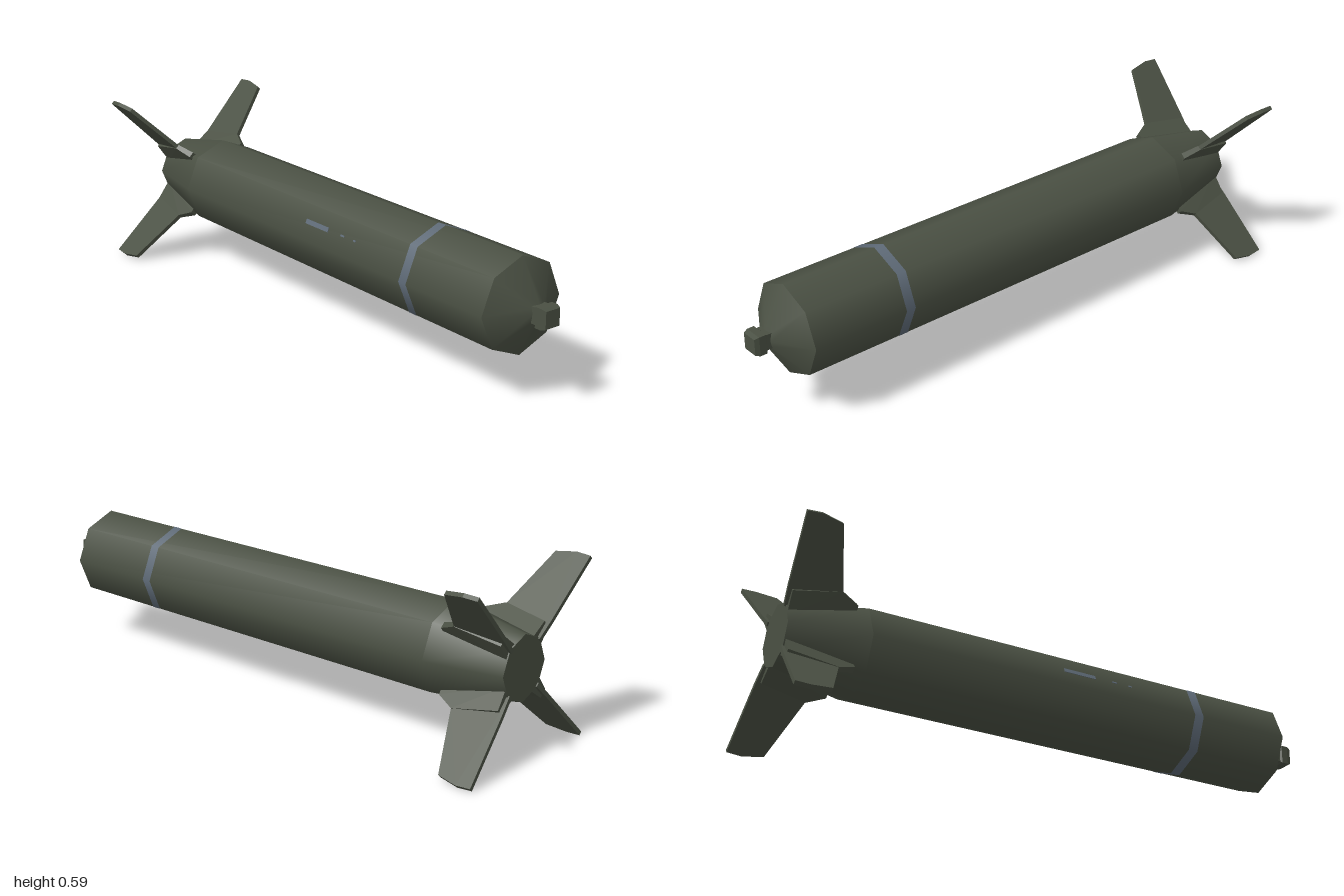
import * as THREE from 'three';

const AXIS_Y = 0.297, R = 0.158;

export function createModel() {
  const model = new THREE.Group();
  model.name = 'finnedBomb';
  const olive = new THREE.MeshStandardMaterial({ color: 0x4a5043 });
  olive.name = 'olive drab';
  const blueGrey = new THREE.MeshStandardMaterial({ color: 0x5f6b78 });
  blueGrey.name = 'blue grey paint';

  // everything is laid out around the x axis, then lifted
  const bomb = new THREE.Group();
  bomb.name = 'bomb';
  bomb.position.y = AXIS_Y;
  model.add(bomb);

  const add = (name, geometry, material, parent = bomb) => {
    const mesh = new THREE.Mesh(geometry, material);
    mesh.name = name;
    parent.add(mesh);
    return mesh;
  };
  const flat = (geometry) => {
    const g = geometry.index ? geometry.toNonIndexed() : geometry;
    g.computeVertexNormals();
    return g;
  };
  // profile of [x, radius] pairs revolved about the x axis
  const turned = (profile, sides = 8, start = 0) =>
    new THREE.LatheGeometry(profile.map(([x, r]) => new THREE.Vector2(r, x)), sides, start)
      .rotateZ(-Math.PI / 2);

  // eight-sided body, smooth around
  add('barrel', turned([[-0.71, R], [0.865, R]]), olive);
  add('tailTaper', turned([[-0.97, 0.108], [-0.71, R]]), olive);
  add('tailCap', turned([[-0.97, 0], [-0.97, 0.108]]), olive);
  add('noseCone', turned([[0.865, R], [0.94, 0.03], [0.94, 0]]), olive);

  // square fuze
  const q = Math.SQRT2;
  add('fuze', flat(turned([[0.92, 0.027 * q], [0.953, 0.027 * q], [0.958, 0.033 * q],
    [0.982, 0.033 * q], [0.997, 0.028 * q], [0.997, 0]], 4, Math.PI / 4)), olive);

  // painted band and side marks
  add('noseBand', turned([[0.49, R + 0.001], [0.525, R + 0.001]]), blueGrey);
  const tilt = Math.PI / 8, apothem = R * Math.cos(tilt);
  for (const [x, w, h] of [[0.045, 0.12, 0.016], [0.18, 0.02, 0.006], [0.242, 0.012, 0.006]]) {
    const mark = add('sideMark', new THREE.BoxGeometry(w, h, 0.003)
      .translate(x, 0.002, apothem), blueGrey);
    mark.rotation.x = -tilt;
  }

  // four fins with flared root brackets on the diagonals
  const slab = (points, depth) => new THREE.ExtrudeGeometry(
    new THREE.Shape(points.map(([x, r]) => new THREE.Vector2(x, r))),
    { depth, bevelEnabled: false }).translate(0, 0, -depth / 2);
  const blade = slab([[-0.975, 0.1], [-0.83, 0.1], [-0.81, 0.19], [-0.88, 0.398],
    [-0.95, 0.411], [-1, 0.407], [-0.982, 0.165]], 0.014);
  const bracket = slab([[-0.965, 0.08], [-0.75, 0.125], [-0.75, 0.16], [-0.81, 0.19],
    [-0.968, 0.158]], 2);
  const p = bracket.attributes.position;
  for (let i = 0; i < p.count; i++) {
    const out = THREE.MathUtils.mapLinear(p.getY(i), 0.08, 0.19, 0.03, 0.011);
    const fore = THREE.MathUtils.mapLinear(p.getX(i), -0.97, -0.75, 1, 0.65);
    p.setZ(i, p.getZ(i) * out * fore);
  }
  flat(bracket);
  for (let k = 0; k < 4; k++) {
    const fin = new THREE.Group();
    fin.name = 'tailFin';
    fin.rotation.x = Math.PI / 4 + k * Math.PI / 2;
    add('finBlade', blade, olive, fin);
    add('finBracket', bracket, olive, fin);
    bomb.add(fin);
  }
  return model;
}
